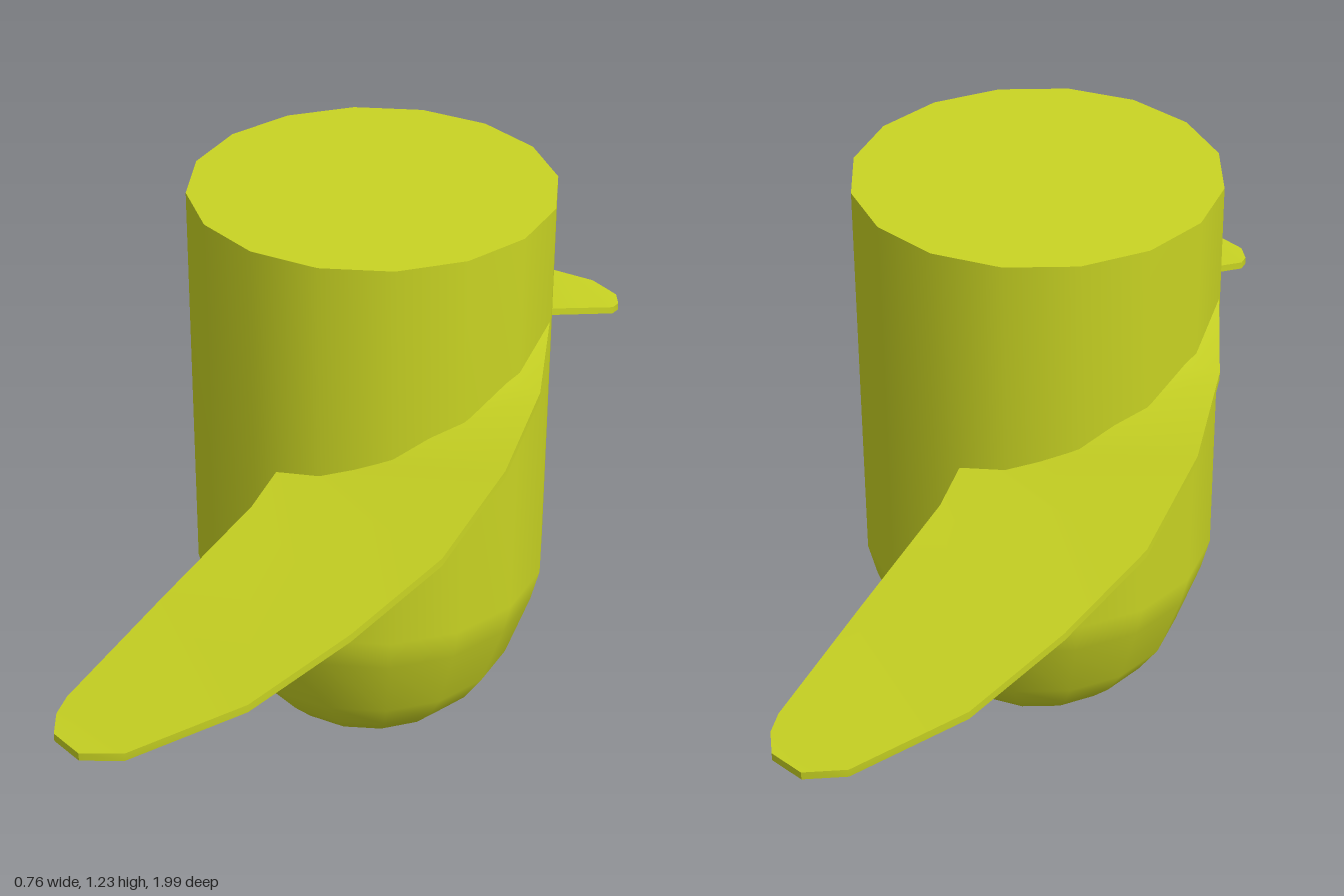
import * as THREE from 'three';
import { toCreasedNormals } from 'three/addons/utils/BufferGeometryUtils.js';

const SIDES = 16;
const TOP = 1.222;
const THICKNESS = 0.016;

// Hub outline from the nose up to the flat top: [radius, height]
const HUB = [[0.058, 0.001], [0.2, 0.073], [0.248, 0.122], [0.291, 0.187], [0.34, 0.33], [0.357, 0.4], [0.357, TOP]];

// Blade stations from the leading corner to the tip: [root side point, outer side point]
const BLADE = [
  [[0.33, 0.985, 0], [0.355, 0.985, 0]],
  [[0.29, 0.928, 0.16], [0.38, 0.928, 0.18]],
  [[0.18, 0.858, 0.28], [0.366, 0.878, 0.39]],
  [[0.04, 0.798, 0.32], [0.302, 0.803, 0.59]],
  [[-0.09, 0.764, 0.335], [0.18, 0.722, 0.75]],
  [[-0.11, 0.738, 0.43], [0.035, 0.638, 0.89]],
  [[-0.215, 0.65, 0.645], [-0.16, 0.562, 0.99]],
  [[-0.32, 0.558, 0.86], [-0.245, 0.547, 0.995]],
  [[-0.325, 0.548, 0.9], [-0.31, 0.543, 0.95]],
];

// Thin swept plate lofted through four-cornered sections
function bladeGeometry() {
  const positions = [], index = [];
  BLADE.forEach(([inner, outer], i) => {
    const t = i === 0 ? 0.003 : THICKNESS;
    const low = ([x, y, z]) => [x, y - t, z];
    positions.push(...inner, ...outer, ...low(outer), ...low(inner));
    if (i === BLADE.length - 1) return;
    for (let k = 0; k < 4; k++) {
      const a = i * 4 + k, b = i * 4 + (k + 1) % 4;
      index.push(a, a + 4, b, b, a + 4, b + 4);
    }
  });
  const e = (BLADE.length - 1) * 4;
  index.push(0, 1, 2, 0, 2, 3, e, e + 2, e + 1, e, e + 3, e + 2);
  const g = new THREE.BufferGeometry();
  g.setAttribute('position', new THREE.Float32BufferAttribute(positions, 3));
  g.setIndex(index);
  return toCreasedNormals(g, 0.5);
}

export function createModel() {
  const paint = new THREE.MeshStandardMaterial({ color: 0xc9d423 });
  paint.name = 'yellowGreen';
  const model = new THREE.Group();
  model.name = 'propeller';

  // Everything leans back very slightly about mid height
  const lean = new THREE.Group();
  lean.name = 'leaningBody';
  lean.position.y = 0.61;
  lean.rotation.x = -0.016;
  model.add(lean);

  const add = (name, geometry) => {
    const mesh = new THREE.Mesh(geometry, paint);
    mesh.name = name;
    mesh.position.y = -0.61;
    lean.add(mesh);
    return mesh;
  };

  // Hub with rounded nose and flat ends
  add('hub', new THREE.LatheGeometry(HUB.map(([r, y]) => new THREE.Vector2(r, y)), SIDES));
  add('hubTop', new THREE.CircleGeometry(0.357, SIDES).rotateX(-Math.PI / 2).translate(0, TOP, 0));
  add('noseTip', new THREE.CircleGeometry(0.058, SIDES).rotateX(Math.PI / 2).translate(0, 0.001, 0));

  // Two opposite blades
  const blade = bladeGeometry();
  add('frontBlade', blade);
  add('backBlade', blade).rotation.y = Math.PI;

  return model;
}
